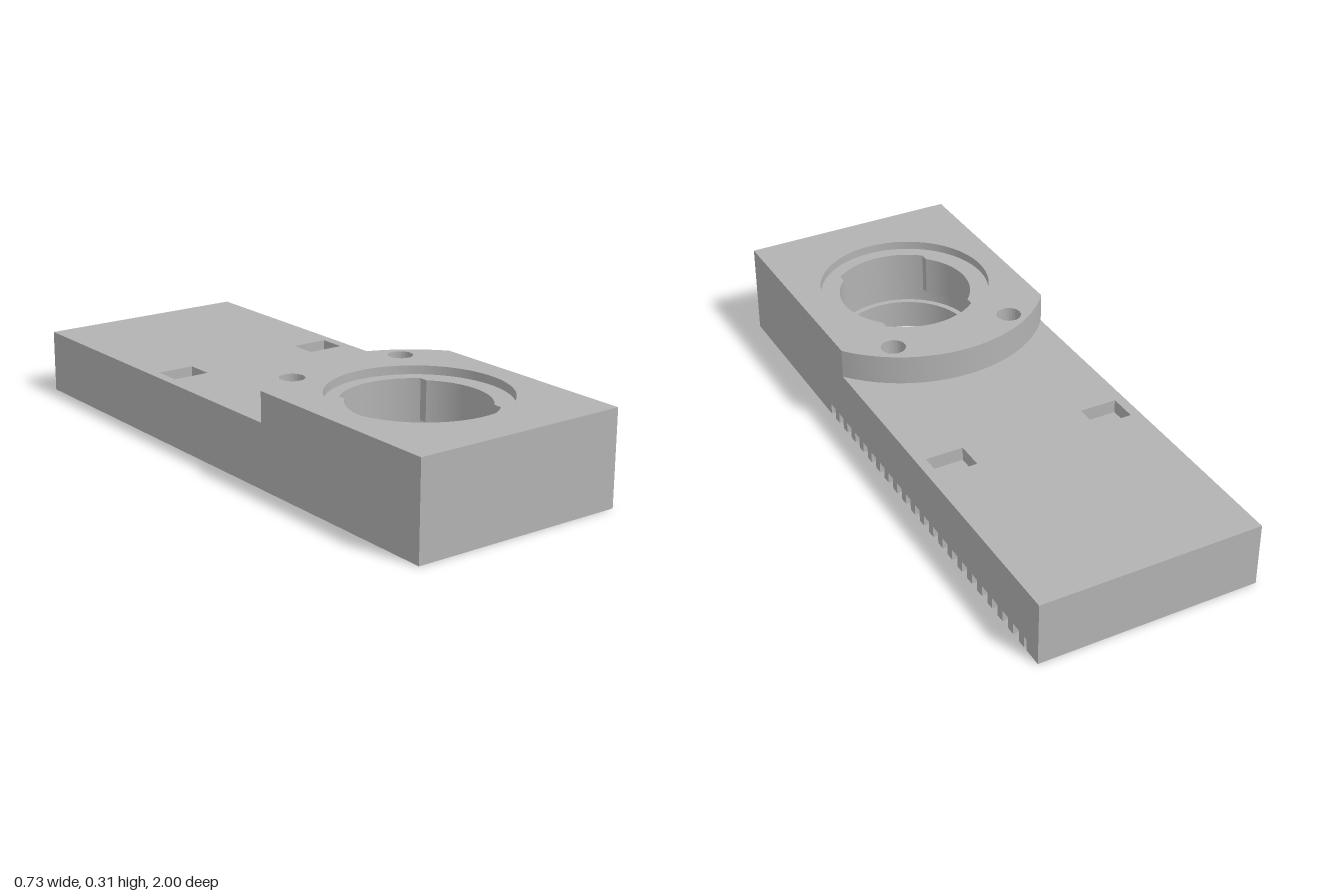
import * as THREE from 'three';
import { toCreasedNormals } from 'three/addons/utils/BufferGeometryUtils.js';

const W = 0.365;            // half width
const WALL = 0.063;         // skirt wall thickness
const CZ = 0.555;           // bore centre in z
const CEIL = 0.075;         // underside of the deck
const DECK = 0.21, TOP = 0.308;

const circle = (x, z, r, Type = THREE.Path) => new Type().absarc(x, z, r, 0, Math.PI * 2, false);

const rect = (x0, z0, x1, z1, Type = THREE.Path) =>
  new Type().moveTo(x0, z0).lineTo(x1, z0).lineTo(x1, z1).lineTo(x0, z1).closePath();

// Bore outline with wider keyways at front and rear
function keyedBore() {
  const r = 0.22, R = 0.24, half = 0.157, q = Math.PI / 2;
  const a = Math.asin(half / r), b = Math.asin(half / R);
  const p = new THREE.Path();
  p.absarc(0, CZ, R, q - b, q + b, false);
  p.absarc(0, CZ, r, q + a, 3 * q - a, false);
  p.absarc(0, CZ, R, 3 * q - b, 3 * q + b, false);
  p.absarc(0, CZ, r, 3 * q + a, 5 * q - a, false);
  p.closePath();
  return p;
}

// Raised pad outline with a rounded rear edge
function padShape() {
  const r = 0.465, a = Math.asin(W / r), s = new THREE.Shape();
  s.absarc(0, CZ, r, -Math.PI / 2 - a, -Math.PI / 2 + a, false);
  s.lineTo(W, 1).lineTo(-W, 1).closePath();
  return s;
}

export function createModel() {
  const group = new THREE.Group();
  const grey = new THREE.MeshStandardMaterial({ color: 0xb2b2b2 });
  grey.name = 'grey';

  const add = (name, geometry) => {
    const mesh = new THREE.Mesh(geometry, grey);
    mesh.name = name;
    group.add(mesh);
    return mesh;
  };

  // Horizontal slab from an outline in x and z
  const slab = (name, shape, holes, y0, y1) => {
    shape.holes.push(...holes);
    const g = new THREE.ExtrudeGeometry(shape, { depth: y1 - y0, bevelEnabled: false, curveSegments: 40 });
    g.rotateX(Math.PI / 2).translate(0, y1, 0);
    add(name, toCreasedNormals(g, 0.5));
  };
  const deck = () => rect(-W, -1, W, 1, THREE.Shape);
  const screwHoles = () => [-0.21, 0.21].map((x) => circle(x, 0.21, 0.04));
  const pockets = () => [-0.27, 0.27].map((x) => rect(x - 0.062, -0.353, x + 0.062, -0.26));

  // Deck, in layers that form the pockets, keyways and locking groove
  slab('deckLip', deck(), [circle(0, CZ, 0.22)], CEIL, 0.1);
  slab('deckGroove', deck(), [circle(0, CZ, 0.24)], 0.1, 0.145);
  slab('deckCore', deck(), [keyedBore()], 0.145, 0.165);
  slab('deckTop', deck(), [keyedBore(), ...pockets()], 0.165, DECK);

  // Raised pad with screw holes and a shallow round recess
  slab('padBase', padShape(), [keyedBore(), ...screwHoles()], DECK, 0.28);
  slab('padRim', padShape(), [circle(0, CZ, 0.283), ...screwHoles()], 0.28, TOP);

  // Collar around the bore below the deck
  slab('collar', circle(0, CZ, 0.29, THREE.Shape), [circle(0, CZ, 0.22)], 0, CEIL);

  // Plain skirt walls
  for (const [name, s] of [['frontWall', 1], ['backWall', -1]]) {
    add(name, new THREE.BoxGeometry(2 * W, CEIL, WALL)).position.set(0, CEIL / 2, s * (1 - WALL / 2));
  }
  add('rightWall', new THREE.BoxGeometry(WALL, CEIL, 2 - 2 * WALL)).position.set(-W + WALL / 2, CEIL / 2, 0);

  // Toothed skirt wall: profile in z and y with a row of slots
  const profile = new THREE.Shape().moveTo(-1, 0);
  for (let i = 0; i < 22; i++) {
    const z = -0.955 + i * 0.0618, e = z + 0.033;
    profile.lineTo(z, 0).lineTo(z, 0.038).lineTo(e, 0.038).lineTo(e, 0);
  }
  profile.lineTo(1, 0).lineTo(1, CEIL).lineTo(-1, CEIL).closePath();
  const toothed = new THREE.ExtrudeGeometry(profile, { depth: WALL, bevelEnabled: false });
  toothed.rotateY(-Math.PI / 2).translate(W, 0, 0);
  add('toothedLeftWall', toothed);

  return group;
}
